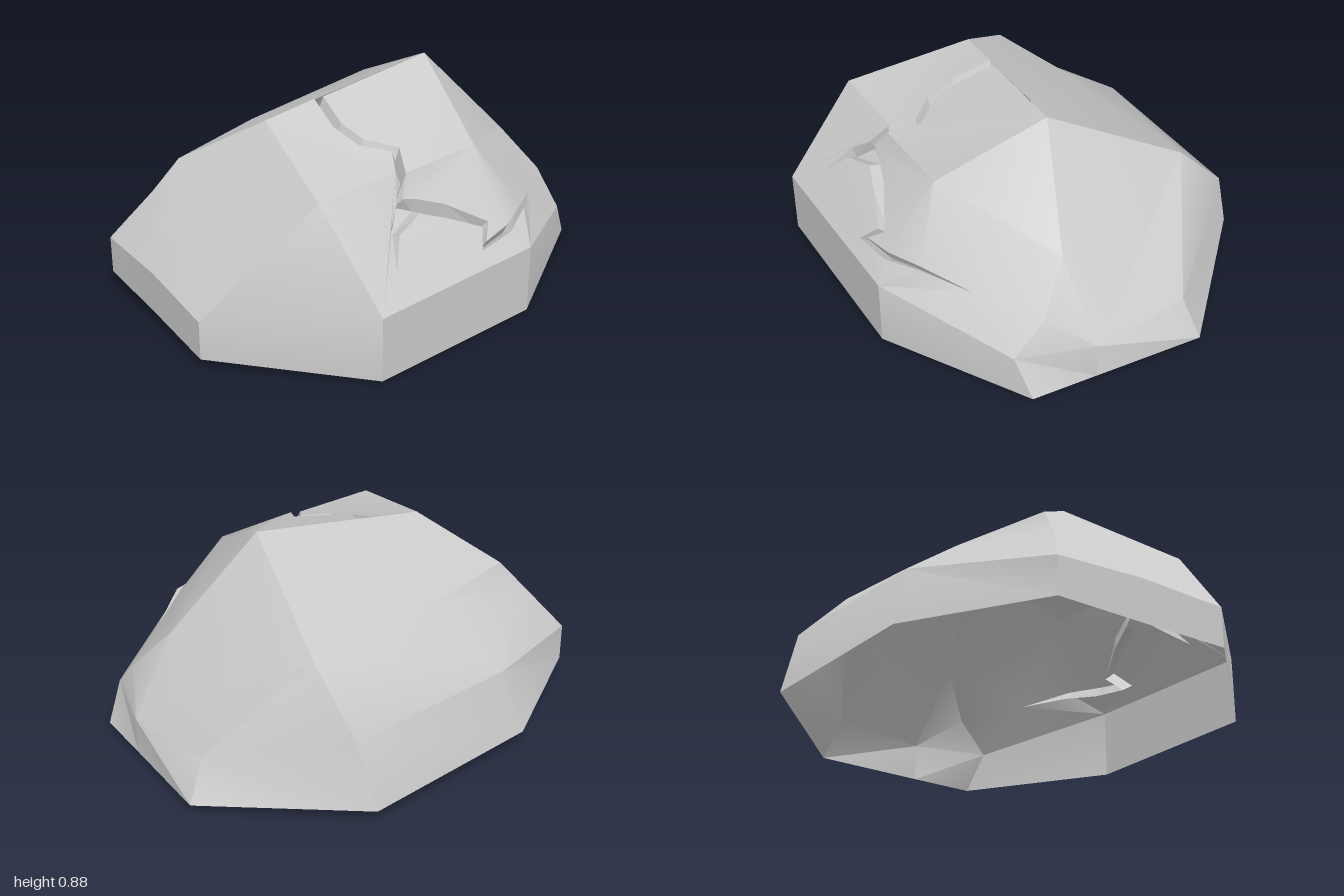
import * as THREE from 'three';
import { toCreasedNormals } from 'three/addons/utils/BufferGeometryUtils.js';

const v = (x, y, z) => new THREE.Vector3(x, y, z);
const material = new THREE.MeshStandardMaterial({ color: 0xcccccc, side: THREE.DoubleSide });

// Triangle soup whose faces are turned to point away from the rock's middle
function makeSoup() {
  const pos = [];
  const middle = v(0, 0.1, 0);
  const tri = (a, b, c) => {
    const n = b.clone().sub(a).cross(c.clone().sub(a));
    const out = a.clone().add(b).add(c).divideScalar(3).sub(middle);
    for (const p of n.dot(out) < 0 ? [a, c, b] : [a, b, c]) pos.push(p.x, p.y, p.z);
  };
  const quad = (a, b, c, d) => { tri(a, b, c); tri(a, c, d); };
  // Concave polygon, cut into triangles as seen from above
  const poly = (pts) => {
    const flat = pts.map((p) => new THREE.Vector2(p.x, -p.z));
    for (const [i, j, k] of THREE.ShapeUtils.triangulateShape(flat, [])) tri(pts[i], pts[j], pts[k]);
  };
  const mesh = (name, crease) => {
    const geo = new THREE.BufferGeometry();
    geo.setAttribute('position', new THREE.Float32BufferAttribute(pos, 3));
    const m = new THREE.Mesh(toCreasedNormals(geo, crease), material);
    m.name = name;
    return m;
  };
  return { tri, quad, poly, mesh };
}

export function createModel() {
  const group = new THREE.Group();
  group.name = 'rock';

  // Lower rim and the shoulder above it, in matching order
  const base = [
    v(0.1, 0.04, -1), v(0.5, 0.02, -0.78), v(0.74, 0.01, -0.65), v(0.835, 0, 0.03), v(0.545, 0.015, 0.77),
    v(-0.11, 0.045, 0.995), v(-0.43, 0.06, 0.82), v(-0.755, 0.075, 0.65), v(-0.84, 0.08, 0.02), v(-0.56, 0.065, -0.72),
  ];
  const shoulder = [
    v(0.1, 0.2, -0.91), v(0.5, 0.18, -0.78), v(0.74, 0.17, -0.56), v(0.835, 0.29, 0.03), v(0.545, 0.29, 0.77),
    v(-0.11, 0.21, 0.995), v(-0.43, 0.24, 0.82), v(-0.755, 0.235, 0.65), v(-0.745, 0.35, 0), v(-0.47, 0.35, -0.72),
  ];
  const [back, backMid, backRight, right, frontRight, front, frontMid, frontLeft, left, backLeft] = shoulder;

  // Upper corners
  const peak = v(0.2, 0.88, -0.31), brow = v(-0.17, 0.77, 0.37), chin = v(0.24, 0.65, 0.69);
  const rightTop = v(0.55, 0.655, -0.03), rearTop = v(-0.25, 0.59, -0.65);
  const leftTop = v(-0.44, 0.58, 0.03), leftBrow = v(-0.52, 0.57, 0.47), leftLow = v(-0.6, 0.44, 0.55);
  const rearSide = v(0.45, 0.49, -0.57), rearLow = v(0.62, 0.31, -0.61);

  // Crack centre line with its two banks and its floor
  const path = [
    v(-0.05, 0.806, 0.15), v(0.08, 0.75, 0.24), v(0.2, 0.715, 0.27), v(0.33, 0.695, 0.23), v(0.4, 0.655, 0.33),
    v(0.43, 0.568, 0.4), v(0.48, 0.538, 0.345), v(0.56, 0.49, 0.25), v(0.68, 0.41, 0.14), v(0.71, 0.355, 0.21),
    v(0.75, 0.37, 0.06), v(0.74, 0.385, -0.1), v(0.69, 0.345, -0.32),
  ];
  const last = path.length - 1, tip = path[last];
  const bank = (side) => path.map((p, i) => {
    const dir = v(0, 0, 0);
    if (i > 0) dir.add(p.clone().sub(path[i - 1]).setY(0).normalize());
    if (i < last) dir.add(path[i + 1].clone().sub(p).setY(0).normalize());
    dir.normalize();
    const w = side * (i === last ? 0 : i > 9 ? 0.01 : 0.02);
    const ox = -dir.z * w, oz = dir.x * w;
    const fall = i < 5 ? 0.2 * (ox + oz) : i < 11 ? 1.07 * ox + 0.42 * oz : 0;
    return v(p.x + ox, p.y - fall, p.z + oz);
  });
  const near = bank(1), far = bank(-1);
  const floor = path.map((p, i) => (i === last ? p : p.clone().add(i < 5 ? v(0, -0.05, 0) : v(-0.03, -0.035, -0.01))));
  // Short side branch
  const branchL = v(0.445, 0.51, 0.5), branchR = v(0.475, 0.482, 0.49), branchTip = v(0.52, 0.388, 0.6);
  const branchFloor = v(0.435, 0.46, 0.485);

  // Outer shell, open underneath
  const shell = makeSoup();
  base.forEach((b, i) => {
    const j = (i + 1) % base.length;
    shell.quad(b, base[j], shoulder[j], shoulder[i]);
  });
  const faces = [
    // back
    [peak, rightTop, rearSide], [peak, rearSide, rearTop], [rearTop, rearSide, backMid], [rearTop, backMid, back],
    [rearTop, back, backLeft], [rearSide, rearLow, backMid], [rearLow, backRight, backMid],
    // right rear
    [rightTop, tip, rearSide], [tip, rearLow, rearSide], [tip, backRight, rearLow], [tip, right, backRight],
    // left
    [peak, rearTop, leftTop], [peak, leftTop, brow], [brow, leftTop, leftBrow], [rearTop, backLeft, left],
    [rearTop, left, leftTop], [leftTop, left, leftLow], [leftTop, leftLow, leftBrow], [leftLow, left, frontLeft],
    // front
    [leftLow, frontLeft, frontMid], [leftBrow, leftLow, frontMid], [brow, leftBrow, frontMid],
    [brow, frontMid, front], [brow, front, chin], [chin, front, frontRight],
  ];
  faces.forEach((f) => shell.tri(...f));
  // Cracked faces, bordered by the banks
  shell.poly([brow, chin, ...near.slice(0, 5).reverse()]);
  shell.poly([chin, near[4], near[5], branchL, branchTip, frontRight]);
  shell.poly([branchTip, branchR, ...near.slice(6), right, frontRight]);
  shell.poly([peak, ...far.slice(0, 5), rightTop]);
  shell.poly([rightTop, ...far.slice(4)]);
  group.add(shell.mesh('rockShell', 0.5));

  // Crack walls
  const crack = makeSoup();
  for (let i = 0; i < last; i++) {
    crack.quad(far[i], far[i + 1], floor[i + 1], floor[i]);
    if (i !== 5) crack.quad(near[i], near[i + 1], floor[i + 1], floor[i]);
  }
  crack.quad(near[5], branchL, branchFloor, floor[5]);
  crack.quad(near[6], branchR, branchFloor, floor[6]);
  crack.tri(floor[5], floor[6], branchFloor);
  crack.tri(branchL, branchTip, branchFloor);
  crack.tri(branchR, branchTip, branchFloor);
  group.add(crack.mesh('crack', 0.1));
  return group;
}
